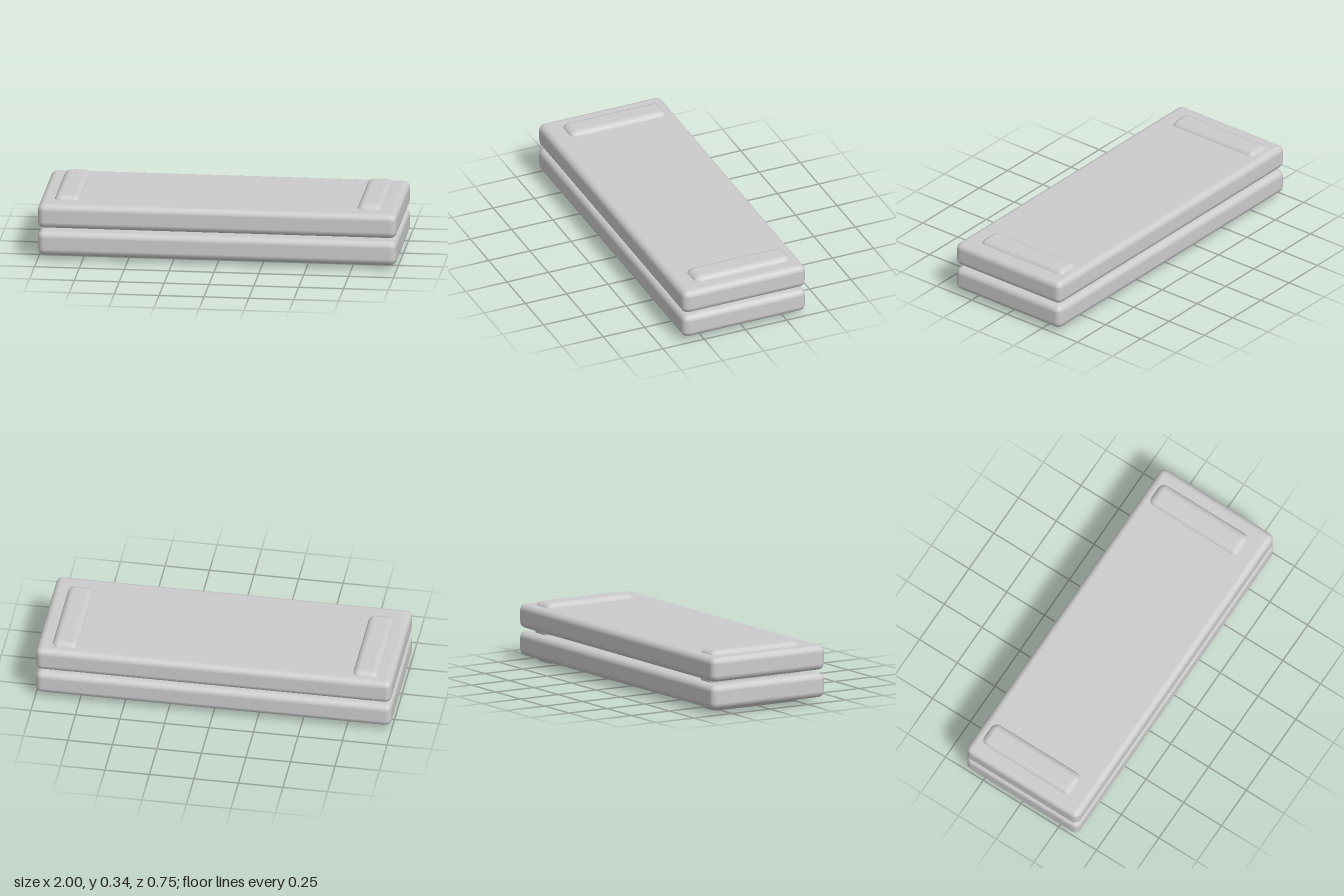
import * as THREE from 'three';
import { RoundedBoxGeometry } from 'three/addons/geometries/RoundedBoxGeometry.js';

export function createModel() {
  const model = new THREE.Group();
  model.name = 'stackedSlabs';

  const grey = new THREE.MeshStandardMaterial({ color: 0xcccccc });
  grey.name = 'light grey';

  // Softly rounded block centred at (x, y, z)
  const block = (name, w, h, d, radius, x, y, z) => {
    const mesh = new THREE.Mesh(new RoundedBoxGeometry(w, h, d, 2, radius), grey);
    mesh.name = name;
    mesh.position.set(x, y, z);
    model.add(mesh);
  };

  // Two long slabs with a narrow gap between them
  block('lowerSlab', 2, 0.138, 0.746, 0.037, 0, 0.096, 0);
  block('upperSlab', 2, 0.138, 0.746, 0.037, 0, 0.251, 0);

  // Cross battens run through both slabs, standing slightly proud above and below
  block('leftBatten', 0.152, 0.343, 0.594, 0.042, 0.842, 0.1715, -0.029);
  block('rightBatten', 0.152, 0.343, 0.594, 0.042, -0.846, 0.1715, -0.029);

  return model;
}
